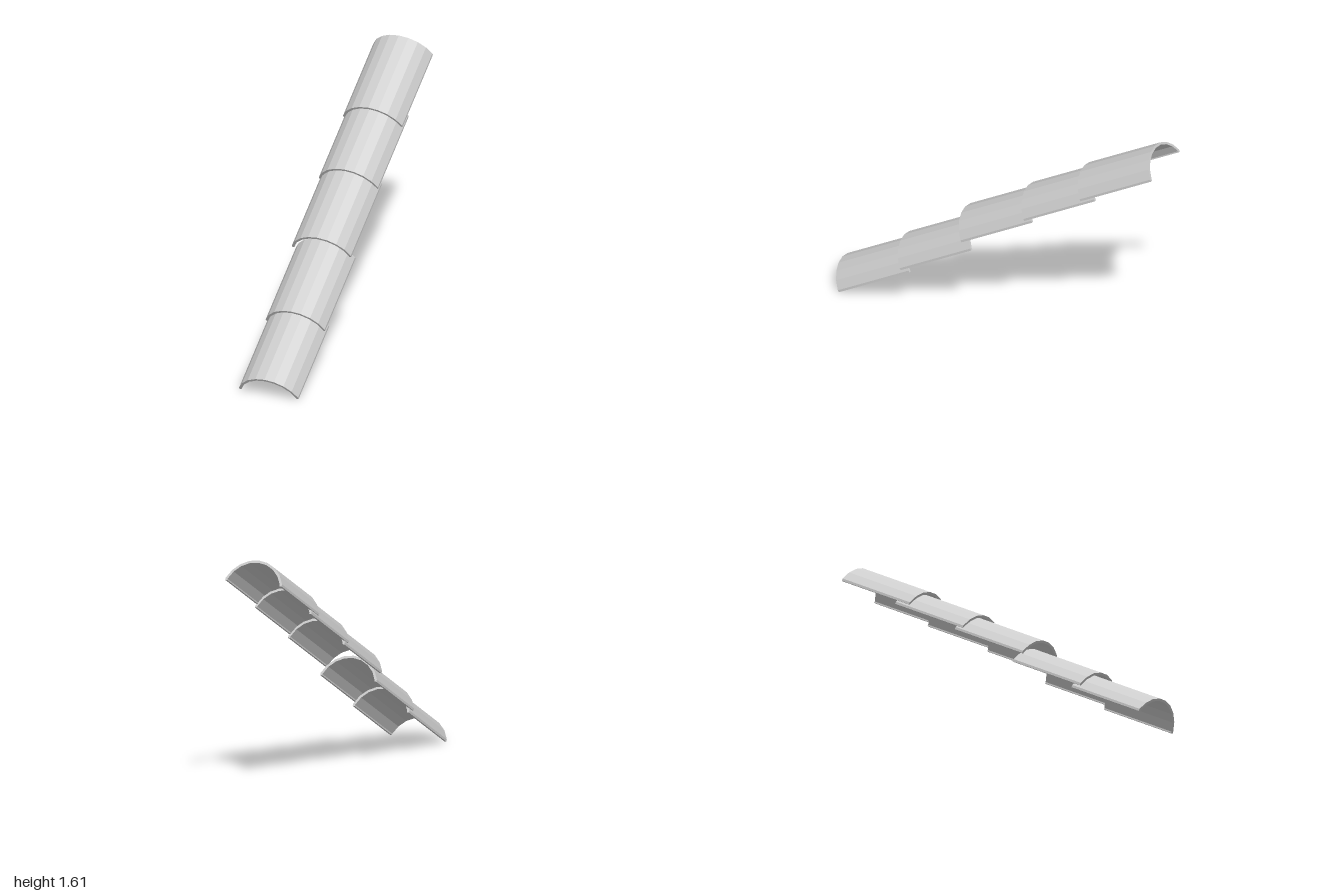
import * as THREE from 'three';

const HALF = 0.205, RISE = 0.155, FOOT = 0.015, WALL = 0.016, LENGTH = 0.587;
const HEADING = Math.atan2(0.636, 0.772); // direction of the row seen from above
const PITCH = THREE.MathUtils.degToRad(30);

// Half-round tile section: faceted arch with short upright feet
function tileSection() {
  const h = RISE - FOOT;
  const r = (HALF * HALF + h * h) / (2 * h);
  const cy = RISE - r;
  const half = Math.asin(HALF / r);
  const n = 8;
  const arc = (radius) => Array.from({ length: n + 1 }, (_, i) => {
    const a = -half + (2 * half * i) / n;
    return new THREE.Vector2(radius * Math.sin(a), cy + radius * Math.cos(a));
  });
  const outer = arc(r), inner = arc(r - WALL).reverse();
  return new THREE.Shape([
    new THREE.Vector2(-HALF, 0), ...outer, new THREE.Vector2(HALF, 0),
    new THREE.Vector2(inner[0].x, 0), ...inner, new THREE.Vector2(inner[n].x, 0),
  ]);
}

export function createModel() {
  const group = new THREE.Group();
  group.name = 'roofTileRow';
  const material = new THREE.MeshStandardMaterial({ color: 0xcccccc, flatShading: true });

  // The section runs uphill from the origin
  const geometry = new THREE.ExtrudeGeometry(tileSection(), { depth: LENGTH, bevelEnabled: false });
  geometry.translate(0, 0, -LENGTH);

  // Lower end of each tile: distance along the row and height
  const starts = [[0, 0], [0.444, 0.293], [0.881, 0.628], [1.332, 0.918], [1.736, 1.182]];
  starts.forEach(([run, y], i) => {
    const tile = new THREE.Mesh(geometry, material);
    tile.name = `roofTile${i + 1}`;
    tile.rotation.set(PITCH, -HEADING, 0, 'YXZ');
    tile.position.set(-0.715 + run * 0.636, y, 0.867 - run * 0.772);
    group.add(tile);
  });
  return group;
}
